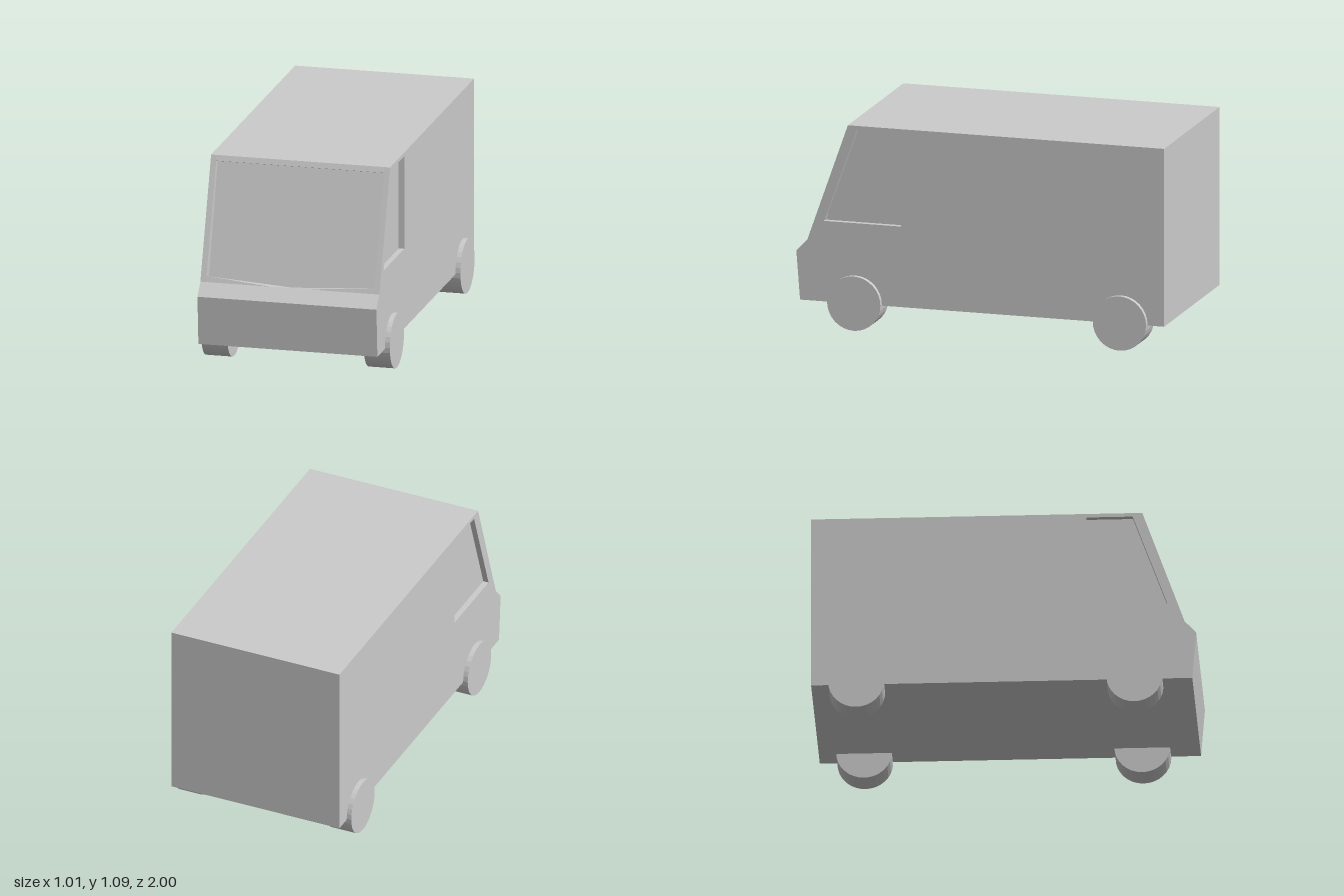
import * as THREE from 'three';
import { ConvexGeometry } from 'three/addons/geometries/ConvexGeometry.js';

const HALF = 0.48; // half width of the body
const WALL = 0.03; // thickness of the side panels

export function createModel() {
  const van = new THREE.Group();
  van.name = 'van';
  const material = new THREE.MeshStandardMaterial({ color: 0xcccccc, flatShading: true });

  const add = (name, geometry, x = 0, y = 0, z = 0) => {
    const mesh = new THREE.Mesh(geometry, material);
    mesh.name = name;
    mesh.position.set(x, y, z);
    van.add(mesh);
  };
  const points = (list) => list.map(([z, y]) => new THREE.Vector2(z, y));

  // Extrudes a (z, y) profile across the width, centred on x = 0
  const slab = (profile, width, hole) => {
    const shape = new THREE.Shape(points(profile));
    if (hole) shape.holes.push(new THREE.Path(points(hole)));
    const geometry = new THREE.ExtrudeGeometry(shape, { depth: width, bevelEnabled: false });
    return geometry.translate(0, 0, -width / 2).rotateY(-Math.PI / 2);
  };

  const lower = [[-1, 0.14], [0.98, 0.14], [1, 0.4], [0.94, 0.465]];
  const roof = [[0.72, 1.09], [-1, 1.09]];

  // Core: its profile steps in at the windscreen; its sides form the side panes
  const windscreen = [[0.885, 0.452], [0.7, 1.052], [0.731, 1.062]];
  add('bodyCore', slab([...lower, ...windscreen, ...roof], 2 * (HALF - WALL)));

  // Side panels with a cab window opening
  const cabWindow = [[0.43, 0.57], [0.43, 1.07], [0.67, 1.07], [0.85, 0.57]];
  for (const [side, label] of [[1, 'left'], [-1, 'right']]) {
    add(`${label}SidePanel`, slab([...lower, ...roof], WALL, cabWindow), side * (HALF - WALL / 2));

    // Sill wedge rising into the lower windscreen corner
    const inner = side * (HALF - WALL);
    add(`${label}WindscreenSill`, new ConvexGeometry([
      [inner, 0.495, 0.929], [side * 0.1, 0.465, 0.94], [inner, 0.465, 0.94],
      [inner, 0.452, 0.885], [0, 0.452, 0.885],
    ].map((p) => new THREE.Vector3(...p))));

    // Wheels
    for (const [z, end] of [[0.68, 'Front'], [-0.765, 'Rear']]) {
      const wheel = new THREE.CylinderGeometry(0.145, 0.145, 0.14, 32).rotateZ(Math.PI / 2);
      add(`${label}${end}Wheel`, wheel, side * 0.436, 0.146, z);
    }
  }
  return van;
}
